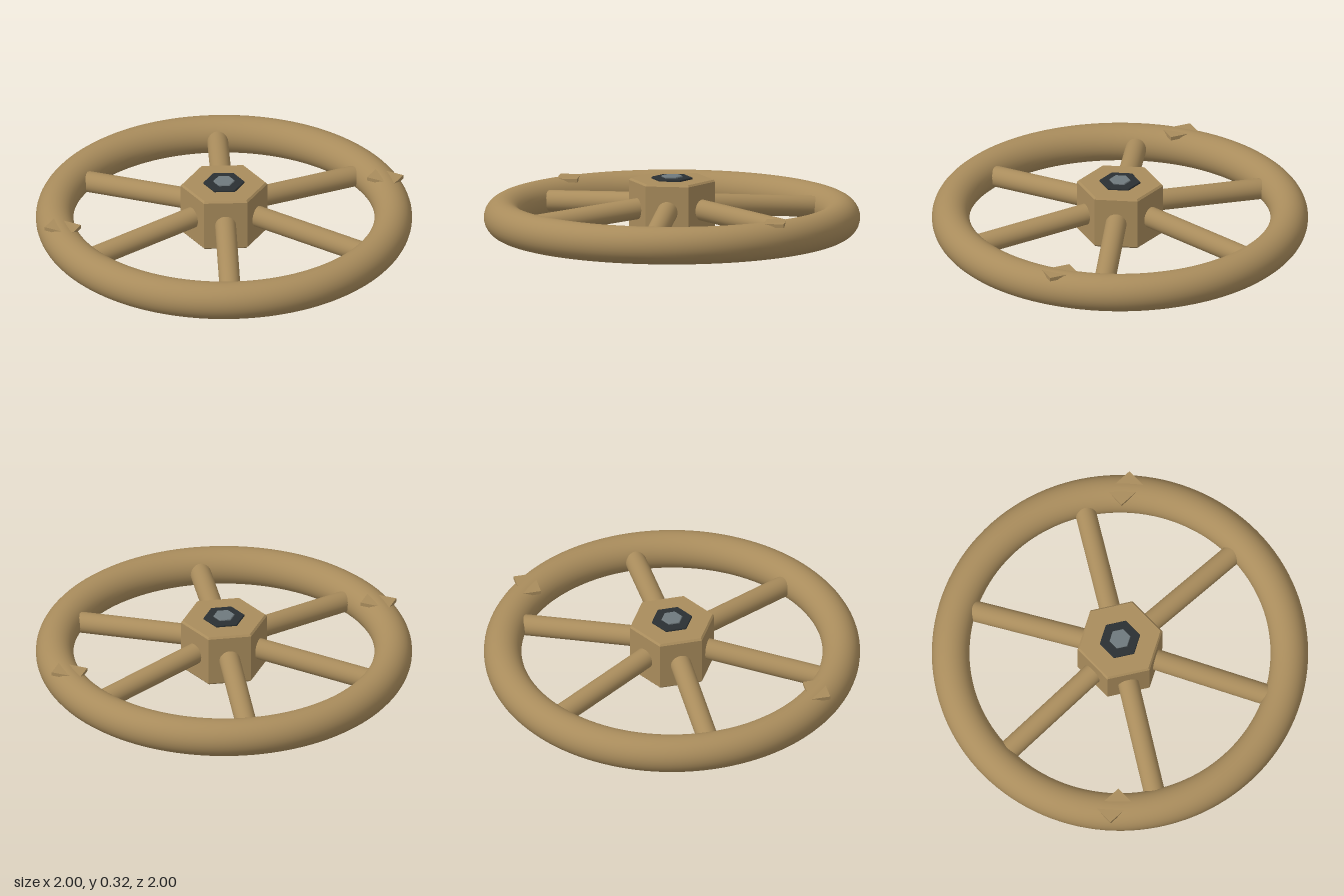
import * as THREE from 'three';

const brass = new THREE.MeshStandardMaterial({ color: 0xa98c5c });
const brassFlat = new THREE.MeshStandardMaterial({ color: 0xa98c5c, flatShading: true });
const darkSteel = new THREE.MeshStandardMaterial({ color: 0x2a3033, flatShading: true });
const greySteel = new THREE.MeshStandardMaterial({ color: 0x6f797d, flatShading: true });

function add(parent, name, geometry, material, x = 0, y = 0, z = 0) {
  const mesh = new THREE.Mesh(geometry, material);
  mesh.name = name;
  mesh.position.set(x, y, z);
  parent.add(mesh);
  return mesh;
}

// Solid hexagonal block with chamfered top and bottom, corners along z
function hexBlock(radius, bottom, top, bevel) {
  const profile = [
    [0, bottom], [radius - bevel, bottom], [radius, bottom + bevel],
    [radius, top - bevel], [radius - bevel, top], [0, top],
  ].map(([r, y]) => new THREE.Vector2(r, y));
  return new THREE.LatheGeometry(profile, 6);
}

export function createModel() {
  const wheel = new THREE.Group();
  wheel.name = 'handwheel';

  // Round rim
  const rim = new THREE.TorusGeometry(0.9, 0.1, 32, 128).rotateX(Math.PI / 2);
  add(wheel, 'rim', rim, brass, 0, 0.104, 0);

  // Hub with the shaft nut on top
  add(wheel, 'hub', hexBlock(0.231, 0.02, 0.31, 0.01), brassFlat);
  add(wheel, 'nut', hexBlock(0.11, 0.29, 0.32, 0.003), darkSteel);
  add(wheel, 'shaftEnd', hexBlock(0.057, 0.29, 0.328, 0.003), greySteel);

  // Six spokes sloping down from the hub into the rim
  const start = new THREE.Vector3(0.08, 0.173, 0);
  const end = new THREE.Vector3(0.88, 0.102, 0);
  const along = end.clone().sub(start);
  const spoke = new THREE.CylinderGeometry(0.056, 0.056, along.length(), 32);
  spoke.applyQuaternion(new THREE.Quaternion().setFromUnitVectors(
    new THREE.Vector3(0, 1, 0), along.clone().normalize()));
  spoke.translate(...start.clone().add(end).multiplyScalar(0.5).toArray());
  for (let i = 0; i < 6; i++) {
    add(wheel, 'spoke' + (i + 1), spoke, brass).rotation.y = i * Math.PI / 3;
  }

  // Two flat marker plates sunk into the crest of the rim
  const plate = new THREE.BoxGeometry(0.16, 0.02, 0.11);
  for (const side of [1, -1]) {
    add(wheel, side > 0 ? 'leftMarker' : 'rightMarker', plate, brassFlat, side * 0.634, 0.191, -side * 0.636);
  }

  return wheel;
}
